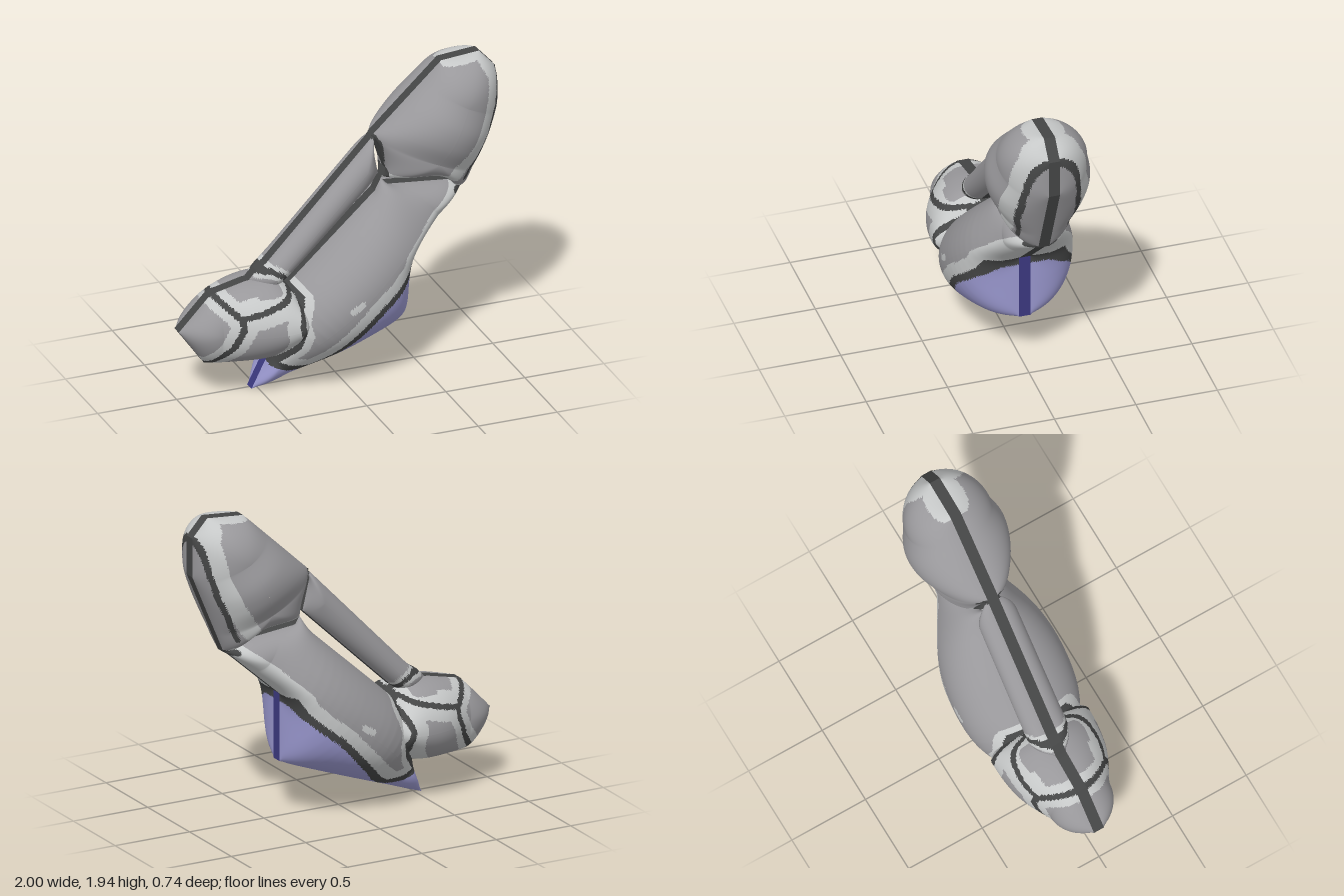
import * as THREE from 'three';

const mat = (name, color) => Object.assign(new THREE.MeshStandardMaterial({ color }), { name });
const MATS = [
  mat('body grey', 0x99989b), mat('pale grey', 0xc6c8c8), mat('dark grey', 0x454646),
  mat('violet', 0x9a98cf), mat('dark violet', 0x3c3980),
];
const [BODY, PALE, DARK, VIOLET, DARK_VIOLET] = MATS.keys();
const RIM = 0.034; // half width of the flat seam around each part

// Border between the grey body and the violet base
const BORDER = [[-0.6, 0.2], [-0.44, 0.2], [-0.35, 0.165], [-0.22, 0.155], [-0.14, 0.21], [0, 0.35], [0.17, 0.53], [0.28, 0.615], [0.37, 0.7], [0.42, 0.785]];
const HEAD_RING = [[-0.85, 0.23], [-0.73, 0.38], [-0.67, 0.52], [-0.68, 0.57], [-0.8, 0.68]];
const HEAD_SIDE = [[-0.68, 0.57], [-0.55, 0.6], [-0.4, 0.64], [-0.35, 0.66]];
const NECK = [[-0.32, 0.67], [-0.29, 0.63], [-0.33, 0.5], [-0.31, 0.42], [-0.33, 0.33], [-0.4, 0.25], [-0.44, 0.21]];
const ARM_ROOT = [[-0.52, 0.78], [-0.44, 0.785], [-0.37, 0.75], [-0.33, 0.68]];
const BLOB_EDGE = [[1, 1.85], [0.982, 1.78], [0.955, 1.64], [0.905, 1.49], [0.82, 1.31], [0.76, 1.2]];

// Painted bands: path, half width, colour; the first match wins
const BANDS = [
  [BORDER.slice(1), 0.022, DARK], [HEAD_RING, 0.018, DARK], [HEAD_SIDE, 0.015, DARK],
  [NECK, 0.018, DARK], [ARM_ROOT, 0.016, DARK], [BLOB_EDGE, 0.013, DARK],
  [[[0.22, 1.53], [0.25, 1.48], [0.3, 1.25]], 0.014, DARK],
  [[[0.73, 1.1], [0.79, 1.1]], 0.018, DARK],
  [[[-0.54, 0.685], [-0.42, 0.69]], 0.025, BODY],
  [BORDER.slice(2).map(([x, y]) => [x - 0.03, y + 0.04]), 0.045, PALE],
  [[[0.38, 0.8], [0.56, 0.97], [0.73, 1.1]], 0.055, PALE],
  [HEAD_RING, 0.068, PALE], [HEAD_SIDE, 0.08, PALE], [NECK, 0.06, PALE],
  [NECK.slice(1).map(([x, y]) => [x - 0.05, y]), 0.05, PALE], [ARM_ROOT, 0.04, PALE],
  [[[-0.03, 0.56], [0.03, 0.6]], 0.02, PALE],
  [[[0.9, 1.95], [0.95, 1.84], [0.91, 1.63], [0.83, 1.44], [0.69, 1.25]], 0.05, PALE],
  [[[0.3, 1.26], [0.67, 1.23]], 0.024, PALE],
  [[[0.66, 1.93], [0.9, 1.95]], 0.018, PALE],
];

// Nearest point on an open path: distance, position and any extra value
function nearest(path, x, y) {
  let best = { d: Infinity };
  for (let i = 0; i + 1 < path.length; i++) {
    const [ax, ay, av = 0] = path[i], [bx, by, bv = 0] = path[i + 1];
    const dx = bx - ax, dy = by - ay;
    const t = THREE.MathUtils.clamp(((x - ax) * dx + (y - ay) * dy) / (dx * dx + dy * dy), 0, 1);
    const px = ax + dx * t, py = ay + dy * t, d = Math.hypot(x - px, y - py);
    if (d < best.d) best = { d, x: px, y: py, v: av + (bv - av) * t };
  }
  return best;
}

function underBorder(x, y) {
  for (let i = 0; i + 1 < BORDER.length; i++) {
    const [ax, ay] = BORDER[i], [bx, by] = BORDER[i + 1];
    if (x >= ax && x <= bx) return y < ay + (by - ay) * (x - ax) / (bx - ax);
  }
  return false;
}

function colourAt(x, y, hasBase) {
  const near = BANDS.find(([path, w, c]) => c === DARK && nearest(path, x, y).d < w);
  if (near) return DARK;
  if (hasBase && underBorder(x, y)) return VIOLET;
  const band = BANDS.find(([path, w]) => nearest(path, x, y).d < w);
  return band ? band[2] : BODY;
}

// Split the outline's edges into short steps, keeping the corners
function subdivide(outline, step) {
  const pts = [];
  outline.forEach(([ax, ay], i) => {
    const [bx, by] = outline[(i + 1) % outline.length];
    const n = Math.ceil(Math.hypot(bx - ax, by - ay) / step);
    for (let k = 0; k < n; k++) pts.push([ax + (bx - ax) * k / n, ay + (by - ay) * k / n]);
  });
  return pts;
}

const smooth = (pts) => pts.map(([x, y], i) => {
  const a = pts.at(i - 1), b = pts[(i + 1) % pts.length];
  return [(a[0] + 2 * x + b[0]) / 4, (a[1] + 2 * y + b[1]) / 4];
});

// Puffed solid: rings shrink from a counter-clockwise outline to a spine of [x, y, half depth]
function puff(name, outline, spinePoints, { step = 0.014, rings = 30, hasBase = false } = {}) {
  const edge = subdivide(outline, step), n = edge.length;
  const spine = new THREE.CatmullRomCurve3(spinePoints.map((p) => new THREE.Vector3(...p)))
    .getPoints(20).map((p) => p.toArray());
  const pos = [], faces = MATS.map(() => []);
  const tri = (a, b, c, m) => faces[m].push(a, b, c);
  for (const side of [1, -1]) {
    const base = pos.length / 3;
    let ring = edge;
    for (let r = 0; r <= rings; r++) {
      const s = Math.cos(r / rings * Math.PI / 2), h = Math.sqrt(Math.max(0, 1 - s * s));
      for (const [x, y] of ring) {
        const q = nearest(spine, x, y);
        pos.push(q.x + (x - q.x) * s, q.y + (y - q.y) * s, side * (RIM + (q.v - RIM) * h));
      }
      for (let k = 0; k < 5; k++) ring = smooth(ring);
    }
    const paint = (a, b, c) => {
      const mid = (k) => (pos[a * 3 + k] + pos[b * 3 + k] + pos[c * 3 + k]) / 3;
      const m = colourAt(mid(0), mid(1), hasBase);
      if (side > 0) tri(a, b, c, m); else tri(a, c, b, m);
    };
    for (let r = 0; r < rings; r++) for (let i = 0; i < n; i++) {
      const j = (i + 1) % n, a = base + r * n + i, b = base + r * n + j;
      paint(a, b, b + n);
      paint(a, b + n, a + n);
    }
  }
  // Flat seam with its own corners, so its edges stay sharp
  edge.forEach(([ax, ay], i) => {
    const [bx, by] = edge[(i + 1) % n], o = pos.length / 3;
    pos.push(ax, ay, RIM, ax, ay, -RIM, bx, by, -RIM, bx, by, RIM);
    const m = hasBase && underBorder((ax + bx) / 2, (ay + by) / 2) ? DARK_VIOLET : DARK;
    tri(o, o + 1, o + 2, m);
    tri(o, o + 2, o + 3, m);
  });
  const geo = new THREE.BufferGeometry();
  geo.setAttribute('position', new THREE.Float32BufferAttribute(pos, 3));
  geo.setIndex(faces.flat());
  let start = 0;
  faces.forEach((f, m) => {
    if (f.length) geo.addGroup(start, f.length, m);
    start += f.length;
  });
  geo.computeVertexNormals();
  const mesh = new THREE.Mesh(geo, MATS);
  mesh.name = name;
  return mesh;
}

export function createModel() {
  const group = new THREE.Group();
  group.name = 'puffedFigure';
  group.add(
    // Main body with the violet wedge below
    puff('bodyAndBase',
      [[-0.54, 0.01], [0.415, 0.36], [0.415, 0.78], [0.74, 1.07], [0.79, 1.1], [0.7, 1.15], [0.31, 1.19], [0.28, 1.24], [0.24, 1.16], [-0.32, 0.65], [-0.42, 0.5], [-0.44, 0.21]],
      [[-0.4, 0.18, 0.15], [-0.18, 0.4, 0.335], [0.06, 0.6, 0.372], [0.3, 0.81, 0.325], [0.56, 1.03, 0.18]],
      { hasBase: true, rings: 36 }),
    // Pointed head at the lower end
    puff('head',
      [[-1, 0.46], [-0.84, 0.235], [-0.44, 0.235], [-0.28, 0.33], [-0.2, 0.5], [-0.32, 0.66], [-0.42, 0.73], [-0.58, 0.72], [-0.8, 0.67]],
      [[-0.78, 0.46, 0.2], [-0.6, 0.46, 0.29], [-0.45, 0.46, 0.322], [-0.32, 0.47, 0.33]]),
    // Slim strut along the upper side
    puff('arm',
      [[-0.56, 0.72], [-0.45, 0.62], [-0.34, 0.7], [0.26, 1.27], [0.21, 1.48], [0.25, 1.5], [0.23, 1.52], [-0.45, 0.81], [-0.51, 0.775]],
      [[-0.4, 0.74, 0.13], [0.16, 1.32, 0.125]], { rings: 16, step: 0.02 }),
    // Large rounded upper end
    puff('upperEnd',
      [[0.22, 1.52], [0.25, 1.48], [0.31, 1.29], [0.28, 1.24], [0.34, 1.245], [0.67, 1.215], [0.7, 1.17], [0.74, 1.1], [0.79, 1.1], [1, 1.6], [1, 1.84], [0.9, 1.95], [0.66, 1.93]],
      [[0.57, 1.35, 0.235], [0.62, 1.46, 0.295], [0.67, 1.57, 0.31], [0.74, 1.7, 0.27]]),
  );
  return group;
}
